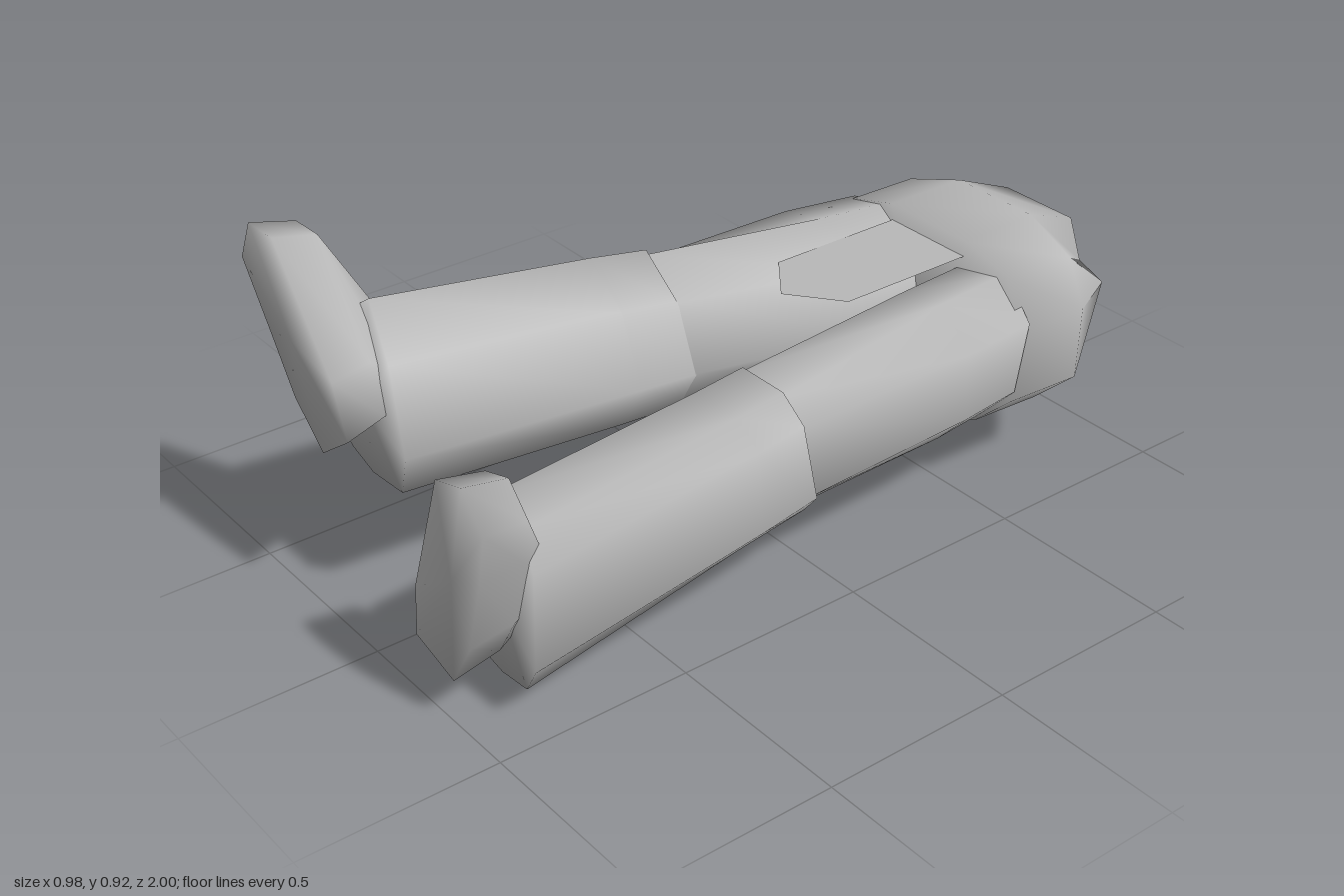
import * as THREE from 'three';

const grey = new THREE.MeshStandardMaterial({ color: 0xb8b8b8, side: THREE.DoubleSide });
grey.name = 'plain grey';

function addMesh(parent, name, geometry) {
  const mesh = new THREE.Mesh(geometry, grey);
  mesh.name = name;
  parent.add(mesh);
  return mesh;
}

// Smooth skin through rings of [x, y, z] points, anticlockwise from the front, listed back to front.
// The front is closed towards its middle; the back stays open, hidden inside the next part.
function loft(rings) {
  const index = [], n = rings[0].length, last = rings[rings.length - 1];
  const mid = [0, 1, 2].map(k => last.reduce((s, p) => s + p[k], 0) / n);
  const pos = [...rings.flat(2), ...mid];
  rings.forEach((ring, i) => {
    for (let j = 0; j < n; j++) {
      const a = i * n + j, b = i * n + (j + 1) % n;
      if (ring === last) index.push(rings.length * n, a, b);
      else index.push(a, b, b + n, a, b + n, a + n);
    }
  });
  const g = new THREE.BufferGeometry();
  g.setAttribute('position', new THREE.Float32BufferAttribute(pos, 3));
  g.setIndex(index);
  g.computeVertexNormals();
  return g;
}

// Stretch an outline to a box; z follows a curve through its bottom, middle and top values.
function fit(outline, x0, x1, y0, y1, zLow, zMid = zLow, zHigh = zLow) {
  const xs = outline.map(p => p[0]), ys = outline.map(p => p[1]);
  const ax = Math.min(...xs), bx = Math.max(...xs), ay = Math.min(...ys), by = Math.max(...ys);
  return outline.map(([x, y]) => {
    const u = (x - ax) / (bx - ax), v = (y - ay) / (by - ay);
    const z = zLow * (1 - v) * (1 - 2 * v) + zMid * 4 * v * (1 - v) + zHigh * v * (2 * v - 1);
    return [x0 + u * (x1 - x0), y0 + v * (y1 - y0), z];
  });
}

// Shrink an outline about a point
const shrink = (outline, cx, cy, s, z) =>
  outline.map(([x, y]) => [cx + (x - cx) * s, cy + (y - cy) * s, z]);

// Foot with a flat sole facing forward
function foot(outline, ankle, sole) {
  const cx = outline.reduce((s, p) => s + p[0], 0) / outline.length;
  const cy = outline.reduce((s, p) => s + p[1], 0) / outline.length;
  return loft([
    shrink(outline, ...ankle, 0.5, 0.80),
    shrink(outline, cx, cy, 0.9, 0.88),
    shrink(outline, cx, cy, 1, sole),
  ]);
}

const shape = points => new THREE.ShapeGeometry(
  new THREE.Shape(points.map(p => new THREE.Vector2(...p))));

export function createModel() {
  const model = new THREE.Group();

  // Pelvis: shell with a jagged waist that curls inwards at the back
  const cx = 0.085;
  // Half outlines run from bottom to top
  const mirrored = half => [...half, ...half.slice().reverse().map(([x, y, z]) => [-x, y, z])]
    .map(([x, y, z]) => [cx + x, y, z]);
  const waist = mirrored([[0.115, 0.25, -0.98], [0.285, 0.27, -0.86], [0.225, 0.42, -1.0],
    [0.225, 0.42, -1.0], [0.285, 0.56, -0.84], [0.115, 0.565, -0.985]]);
  const belly = mirrored([[0.125, 0.145, -0.70], [0.26, 0.19, -0.74], [0.345, 0.27, -0.79],
    [0.345, 0.46, -0.80], [0.29, 0.58, -0.80], [0.13, 0.63, -0.82]]);
  const hips = mirrored([[0.125, 0.17, -0.52], [0.26, 0.20, -0.53], [0.345, 0.28, -0.56],
    [0.345, 0.46, -0.585], [0.28, 0.59, -0.59], [0.135, 0.63, -0.59]]);
  addMesh(model, 'pelvis', loft([
    shrink(waist, cx, 0.42, 0.55, -0.86),
    shrink(waist, cx, 0.42, 0.9, -0.84),
    waist, belly, hips,
  ]));

  // Plate closing the waist
  const plate = addMesh(model, 'waistPlate', shape([[0.08, -0.10], [0.165, -0.08], [0.165, 0.08],
    [0.08, 0.09], [-0.08, 0.09], [-0.165, 0.08], [-0.165, -0.08], [-0.08, -0.10]]));
  plate.rotation.y = Math.PI;
  plate.position.set(cx, 0.42, -0.858);

  // Flat pointed flap hanging from the waist
  const flap = addMesh(model, 'frontFlap',
    shape([[-0.04, 0.60], [-0.04, 0.21], [0.09, 0.11], [0.22, 0.21], [0.22, 0.60]]));
  flap.rotation.x = -Math.PI / 2;
  flap.position.y = 0.59;

  // Left leg
  const leftHip = [[0.22, 0.19], [0.34, 0.20], [0.43, 0.30], [0.43, 0.48], [0.33, 0.575],
    [0.2, 0.55], [0.12, 0.41], [0.13, 0.26]];
  const leftEnd = [[0.24, 0], [0.37, 0.04], [0.475, 0.17], [0.455, 0.41], [0.37, 0.47],
    [0.22, 0.47], [0.135, 0.36], [0.13, 0.11]];
  const leftLeg = new THREE.Group();
  leftLeg.name = 'leftLeg';
  addMesh(leftLeg, 'leftThigh', loft([
    fit(leftHip, 0.12, 0.435, 0.20, 0.58, -0.54, -0.59, -0.62),
    fit(leftHip, 0.12, 0.445, 0.19, 0.57, -0.40),
    fit(leftEnd, 0.125, 0.46, 0.165, 0.51, 0.12),
  ]));
  addMesh(leftLeg, 'leftShin', loft([
    fit(leftEnd, 0.13, 0.465, 0.145, 0.525, 0.02, 0.105, 0.11),
    fit(leftEnd, 0.13, 0.47, 0.115, 0.51, 0.25),
    fit(leftEnd, 0.13, 0.475, 0, 0.46, 0.82, 0.89, 0.84),
  ]));
  addMesh(leftLeg, 'leftFoot', foot([[0.185, 0.155], [0.33, 0.115], [0.405, 0.24], [0.46, 0.44],
    [0.485, 0.57], [0.41, 0.65], [0.31, 0.62], [0.195, 0.29]], [0.30, 0.24], 1.0));
  model.add(leftLeg);

  // Right leg, raised higher and turned outward
  const rightHip = [[-0.1, 0.25], [0.04, 0.28], [0.1, 0.37], [0.05, 0.53], [-0.09, 0.61],
    [-0.22, 0.58], [-0.25, 0.42], [-0.2, 0.31]];
  const rightEnd = [[-0.2, 0.325], [-0.06, 0.34], [0.01, 0.47], [-0.07, 0.665], [-0.21, 0.765],
    [-0.385, 0.64], [-0.36, 0.46], [-0.26, 0.37]];
  const rightLeg = new THREE.Group();
  rightLeg.name = 'rightLeg';
  addMesh(rightLeg, 'rightThigh', loft([
    fit(rightHip, -0.25, 0.10, 0.25, 0.61, -0.54, -0.59, -0.62),
    fit(rightHip, -0.27, 0.09, 0.255, 0.625, -0.40),
    fit(rightEnd, -0.32, 0.015, 0.285, 0.655, 0.09),
  ]));
  addMesh(rightLeg, 'rightShin', loft([
    fit(rightEnd, -0.33, 0.015, 0.275, 0.665, 0.02, 0.08, 0.09),
    fit(rightEnd, -0.345, 0.012, 0.285, 0.69, 0.25),
    fit(rightEnd, -0.385, 0.0, 0.325, 0.765, 0.86, 0.89, 0.83),
  ]));
  addMesh(rightLeg, 'rightFoot', foot([[-0.19, 0.435], [-0.07, 0.52], [-0.12, 0.65],
    [-0.335, 0.918], [-0.44, 0.915], [-0.49, 0.81], [-0.39, 0.665], [-0.3, 0.53]],
  [-0.19, 0.55], 0.99));
  model.add(rightLeg);

  return model;
}
